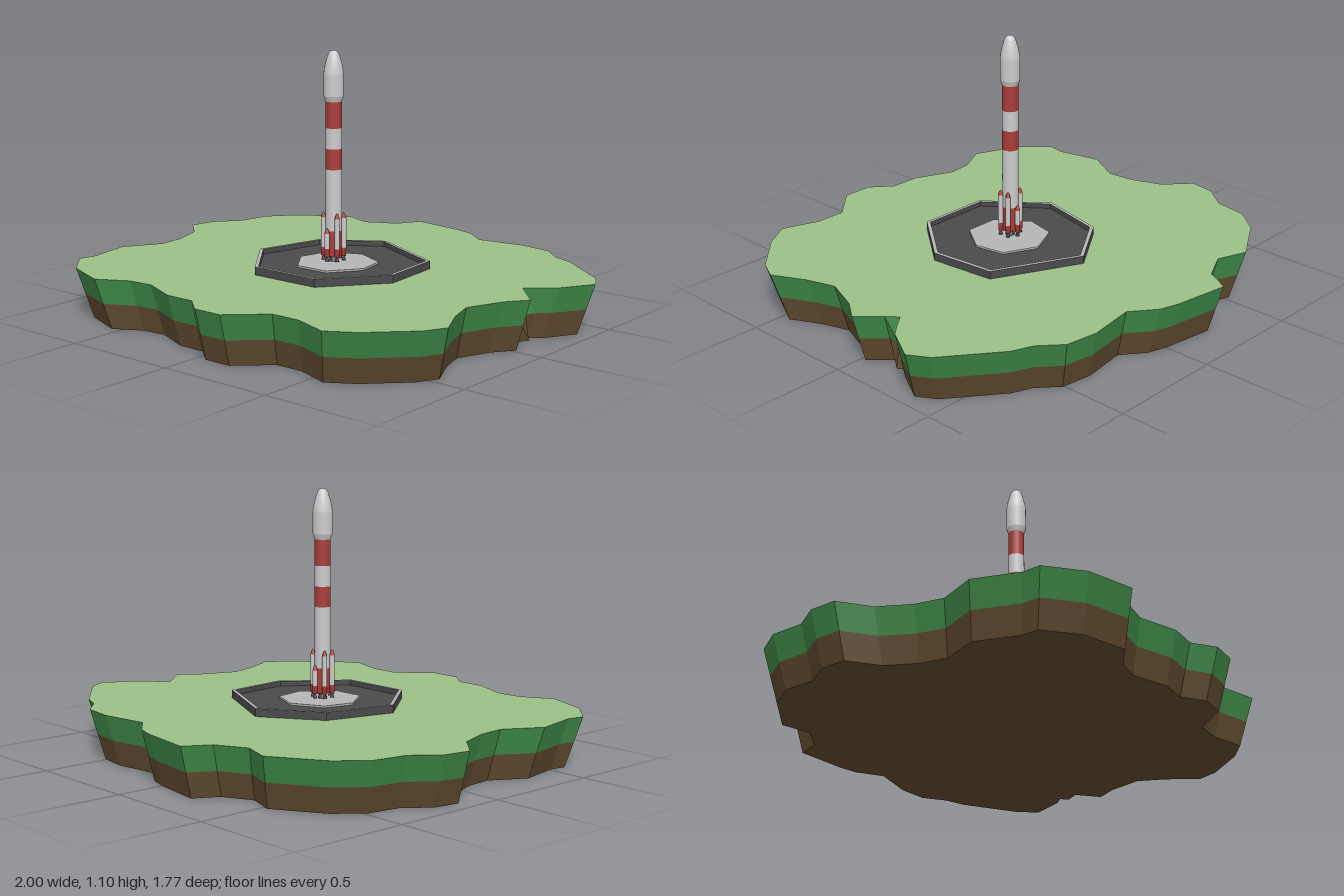
import * as THREE from 'three';

const GRASS = 0x9bbf87, TURF = 0x3f8a48, SOIL = 0x604a2f, DARK = 0x4a4a4a,
  CONCRETE = 0xb6b6b6, WHITE = 0xcccccc, RED = 0xa83c38, METAL = 0x3a3a3a;

function mesh(parent, name, geometry, color, flatShading = false) {
  const material = new THREE.MeshStandardMaterial({ color, flatShading, side: THREE.DoubleSide });
  const m = new THREE.Mesh(geometry, material);
  m.name = name;
  parent.add(m);
  return m;
}

// [x, z, x, z, ...] to points
function toPoints(list) {
  const pts = [];
  for (let i = 0; i < list.length; i += 2) pts.push(new THREE.Vector2(list[i], list[i + 1]));
  return pts;
}

// wall between two outlines, clockwise as seen from above
function wall(low, y0, high, y1) {
  const pos = [];
  low.forEach((a, i) => {
    const j = (i + 1) % low.length, b = low[j], c = high[j], d = high[i];
    pos.push(a.x, y0, a.y, d.x, y1, d.y, c.x, y1, c.y);
    pos.push(a.x, y0, a.y, c.x, y1, c.y, b.x, y0, b.y);
  });
  const g = new THREE.BufferGeometry();
  g.setAttribute('position', new THREE.Float32BufferAttribute(pos, 3));
  g.computeVertexNormals();
  return g;
}

// horizontal face, up or down, with an optional hole
function cap(pts, y, up = true, hole = null) {
  const s = up ? -1 : 1;
  const flip = (list) => list.map((p) => new THREE.Vector2(p.x, s * p.y));
  const shape = new THREE.Shape(flip(pts));
  if (hole) shape.holes.push(new THREE.Path(flip(hole)));
  return new THREE.ShapeGeometry(shape).rotateX(s * Math.PI / 2).translate(0, y, 0);
}

function lathe(profile, segments = 20) {
  return new THREE.LatheGeometry(profile.map(([r, y]) => new THREE.Vector2(r, y)), segments);
}

function createIsland() {
  const island = new THREE.Group();
  island.name = 'island';
  const top = toPoints([
    -0.24, -0.89, 0, -0.855, 0.085, -0.83, 0.19, -0.75, 0.4, -0.78, 0.54, -0.76, 0.63, -0.68,
    0.72, -0.645, 0.95, -0.47, 1, -0.385, 0.92, -0.245, 0.87, -0.2, 0.81, -0.155, 0.85, -0.11,
    0.935, -0.02, 0.87, 0.07, 0.81, 0.225, 0.85, 0.35, 0.92, 0.49, 0.875, 0.58, 0.715, 0.74,
    0.6, 0.81, 0.445, 0.755, 0.315, 0.755, 0.175, 0.885, 0.045, 0.885, -0.045, 0.81,
    -0.175, 0.81, -0.34, 0.74, -0.45, 0.75, -0.58, 0.82, -0.775, 0.745, -0.895, 0.62,
    -0.88, 0.545, -0.92, 0.355, -0.83, 0.2, -0.84, 0.08, -0.89, -0.055, -1, -0.155,
    -0.98, -0.27, -0.895, -0.375, -0.87, -0.52, -0.775, -0.635, -0.56, -0.765,
    -0.43, -0.72, -0.3, -0.785]);
  const bottom = top.map((p) => p.clone().multiplyScalar(0.936));
  bottom[12].set(0.84, -0.16); // the foot of the notch juts out
  const middle = top.map((p, i) => p.clone().lerp(bottom[i], 0.5));
  mesh(island, 'grassTop', cap(top, 0.21), GRASS, true);
  mesh(island, 'turfEdge', wall(middle, 0.105, top, 0.21), TURF, true);
  mesh(island, 'soilEdge', wall(bottom, 0, middle, 0.105), SOIL, true);
  mesh(island, 'soilUnderside', cap(bottom, 0, false), SOIL, true);
  return island;
}

function createPad() {
  const pad = new THREE.Group();
  pad.name = 'launchPad';
  const outer = toPoints([-0.02, -0.35, 0.345, -0.175, 0.375, 0.11, 0.18, 0.36,
    -0.135, 0.36, -0.335, 0.11, -0.265, -0.19]);
  const centre = new THREE.Vector2(0.02, 0.03);
  const inner = outer.map((p) => p.clone().lerp(centre, 0.045));
  mesh(pad, 'padWall', wall(outer, 0.205, outer, 0.243), DARK, true);
  mesh(pad, 'padRim', cap(outer, 0.243, true, inner), CONCRETE, true);
  mesh(pad, 'padInnerWall', wall(inner, 0.222, inner, 0.243), DARK, true);
  mesh(pad, 'padFloor', cap(inner, 0.222), DARK, true);
  const plate = toPoints([0.02, -0.135, 0.16, -0.07, 0.185, 0.06, 0.095, 0.19,
    -0.055, 0.19, -0.15, 0.06, -0.12, -0.07]);
  mesh(pad, 'plateTop', cap(plate, 0.23), CONCRETE, true);
  mesh(pad, 'plateEdge', wall(plate, 0.222, plate, 0.23), CONCRETE, true);
  return pad;
}

// strap-on booster with its base at y = 0
function createBooster(height, index) {
  const booster = new THREE.Group();
  booster.name = 'booster' + index;
  const r = 0.0105;
  mesh(booster, 'boosterBand', lathe([[0, 0], [r, 0], [r, 0.035]], 12), RED);
  mesh(booster, 'boosterBody', lathe([[r, 0.035], [r, height - 0.022]], 12), WHITE);
  mesh(booster, 'boosterNose',
    lathe([[r, height - 0.022], [0.0075, height - 0.01], [0.003, height - 0.002], [0, height]], 12), RED);
  mesh(booster, 'boosterNozzle', lathe([[0.009, -0.018], [0.004, 0]], 12), METAL);
  return booster;
}

function createRocket() {
  const rocket = new THREE.Group();
  rocket.name = 'rocket';
  const r = 0.0335;
  // striped body, from the bottom up
  [[0.255, 0.36, RED], [0.36, 0.615, WHITE], [0.615, 0.7, RED], [0.7, 0.785, WHITE], [0.785, 0.9, RED]]
    .forEach(([y0, y1, color], i) => {
      const g = new THREE.CylinderGeometry(r, r, y1 - y0, 20, 1, i > 0);
      mesh(rocket, 'bodySection' + i, g, color).position.y = (y0 + y1) / 2;
    });
  mesh(rocket, 'mainNozzle', lathe([[0.02, 0.232], [0.01, 0.256]]), METAL);
  // payload fairing: flare, barrel and ogive nose
  mesh(rocket, 'fairingFlare', lathe([[r, 0.893], [0.041, 0.915]]), WHITE);
  mesh(rocket, 'fairingBarrel', lathe([[0.041, 0.915], [0.041, 1.005]]), WHITE);
  mesh(rocket, 'fairingNose', lathe([[0.041, 1.005], [0.038, 1.03], [0.031, 1.058], [0.023, 1.083],
    [0.018, 1.093], [0.01, 1.099], [0, 1.101]]), WHITE);
  // six boosters, the front and back ones shorter
  for (let i = 0; i < 6; i++) {
    const a = Math.PI / 6 + i * Math.PI / 3;
    const booster = createBooster(i % 3 === 1 ? 0.12 : 0.182, i);
    booster.position.set(Math.cos(a) * 0.042, 0.254, Math.sin(a) * 0.042);
    rocket.add(booster);
  }
  rocket.position.set(0.007, 0, 0.035);
  return rocket;
}

export function createModel() {
  const model = new THREE.Group();
  model.name = 'rocketOnIsland';
  model.add(createIsland(), createPad(), createRocket());
  return model;
}
